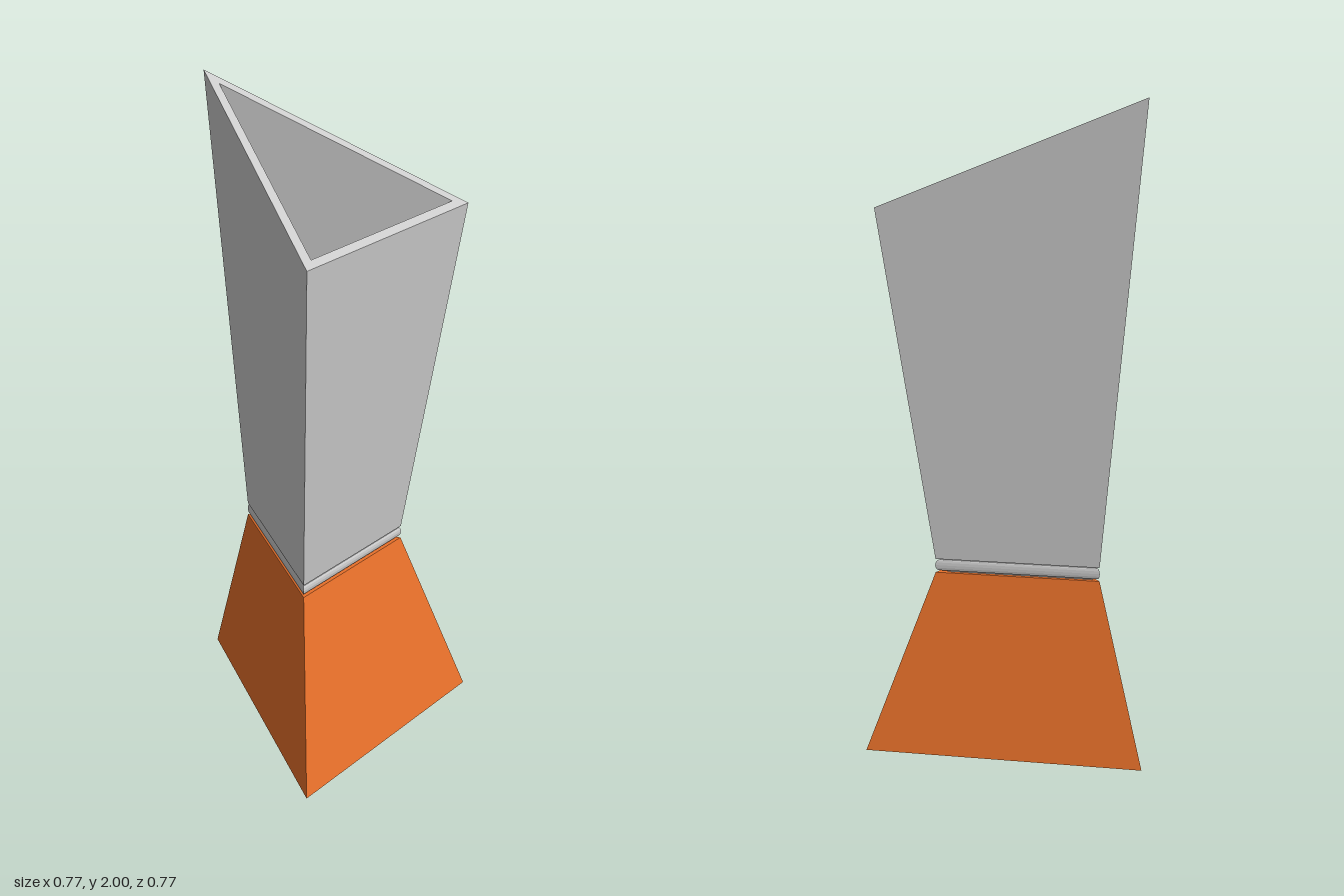
import * as THREE from 'three';

// Triangular ring: half width, front z, apex z, front y, apex y
const ring = (hx, zFront, zApex, yFront, yApex = yFront) => [
  new THREE.Vector3(-hx, yFront, zFront),
  new THREE.Vector3(hx, yFront, zFront),
  new THREE.Vector3(0, yApex, zApex),
];
const evenRing = (half, y) => ring(half, half, -half, y);

// Skin successive rings and cap the first and last ones
function loft(name, rings, material) {
  const points = [];
  const [a, b, c] = rings[0];
  points.push(a, c, b);
  for (let k = 0; k < rings.length - 1; k++) {
    const lo = rings[k], hi = rings[k + 1];
    for (let i = 0; i < 3; i++) {
      const j = (i + 1) % 3;
      points.push(lo[i], lo[j], hi[j], lo[i], hi[j], hi[i]);
    }
  }
  points.push(...rings[rings.length - 1]);
  const geometry = new THREE.BufferGeometry().setFromPoints(points);
  geometry.computeVertexNormals();
  const mesh = new THREE.Mesh(geometry, material);
  mesh.name = name;
  return mesh;
}

export function createModel() {
  const group = new THREE.Group();
  group.name = 'triangularVase';
  const grey = new THREE.MeshStandardMaterial({ color: 0xcccccc });
  const orange = new THREE.MeshStandardMaterial({ color: 0xe8702a });

  // Flared foot
  group.add(loft('base', [evenRing(0.385, 0), evenRing(0.225, 0.574)], orange));

  // Recessed neck joining foot, band and cup
  group.add(loft('neck', [evenRing(0.2, 0.57), evenRing(0.2, 0.62)], grey));

  // Rounded band
  const band = [];
  for (let i = 0; i <= 6; i++) {
    const t = (i / 6) * Math.PI;
    band.push(evenRing(0.217 + 0.009 * Math.sin(t), 0.597 - 0.017 * Math.cos(t)));
  }
  group.add(loft('band', band, grey));

  // Hollow cup: outer wall, slanted rim, inner wall, floor
  group.add(loft('cup', [
    evenRing(0.225, 0.617),
    ring(0.337, 0.337, -0.372, 1.685, 2.0),
    ring(0.294, 0.312, -0.31, 1.696, 1.972),
    ring(0.2, 0.214, -0.175, 0.72),
  ], grey));

  return group;
}
